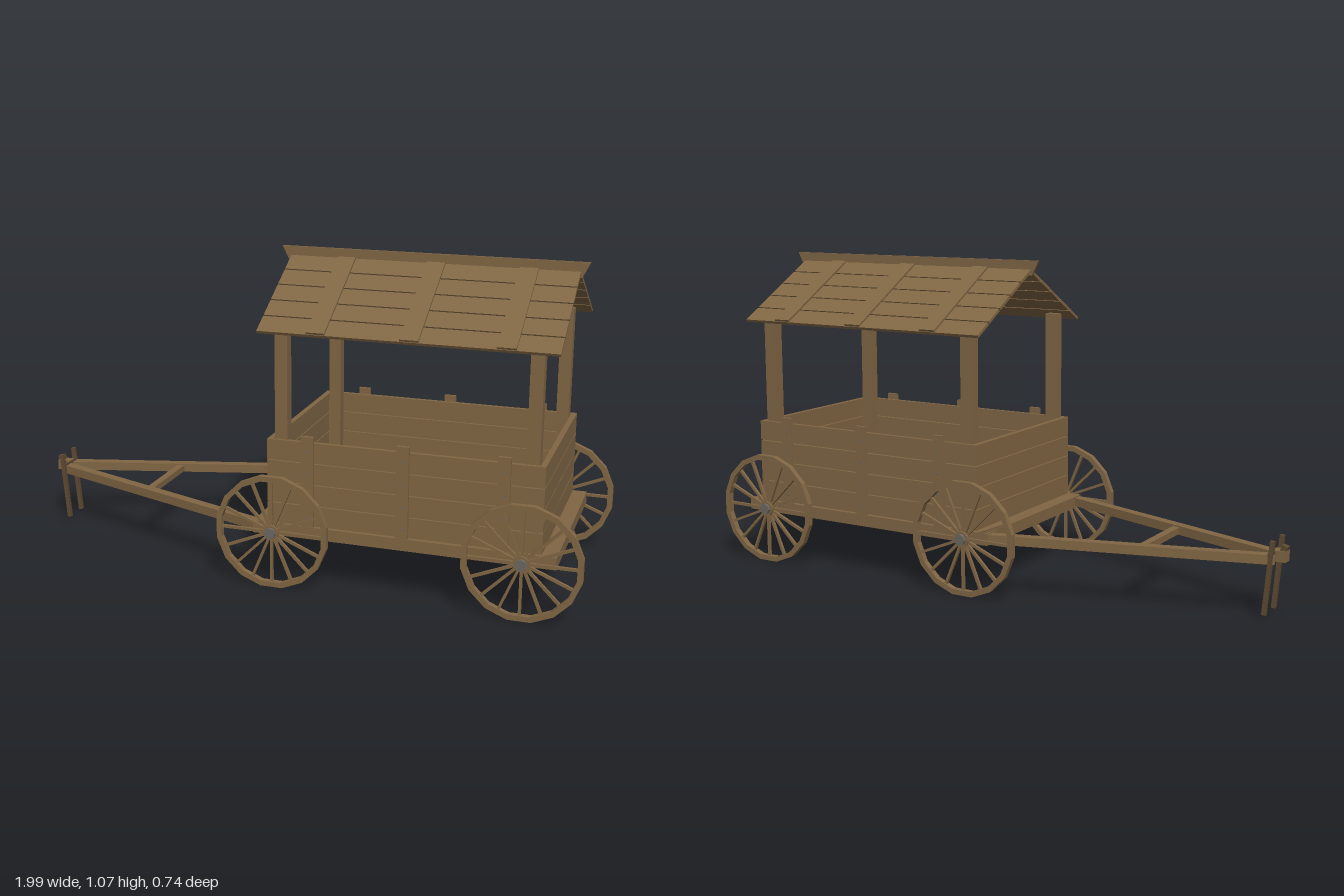
import * as THREE from 'three';

export function createModel() {
  const model = new THREE.Group();
  const wood = new THREE.MeshStandardMaterial({ name: 'wood', color: 0x806644, flatShading: true });
  const iron = new THREE.MeshStandardMaterial({ name: 'iron', color: 0x6b6762, flatShading: true });
  const darkWood = new THREE.MeshStandardMaterial({ name: 'darkWood', color: 0x5e4a32, flatShading: true });

  const add = (name, geometry, material, x, y, z, parent = model) => {
    const mesh = new THREE.Mesh(geometry, material);
    mesh.name = name;
    mesh.position.set(x, y, z);
    parent.add(mesh);
    return mesh;
  };
  const box = (name, w, h, d, x, y, z, parent = model, material = wood) =>
    add(name, new THREE.BoxGeometry(w, h, d), material, x, y, z, parent);
  // bar between two points, local z along its length
  const beam = (name, a, b, w, h, material = wood) => {
    const from = new THREE.Vector3(...a), to = new THREE.Vector3(...b);
    const mid = from.clone().add(to).multiplyScalar(0.5);
    const mesh = box(name, w, h, from.distanceTo(to), mid.x, mid.y, mid.z, model, material);
    mesh.lookAt(to);
    return mesh;
  };

  // wagon bed
  box('bed', 0.995, 0.04, 0.645, 0.41, 0.2, 0);

  // plank walls, four boards high with narrow gaps
  const edges = [0.22, 0.29, 0.362, 0.434, 0.505];
  for (let i = 0; i < 4; i++) {
    const h = edges[i + 1] - edges[i] - 0.003, y = (edges[i] + edges[i + 1]) / 2;
    for (const s of [-1, 1]) {
      box('sidePlank', 0.9, h, 0.015, 0.41, y, s * 0.304);
      box('endPlank', 0.018, h, 0.593, 0.41 + s * 0.441, y, 0);
    }
  }

  for (const s of [-1, 1]) {
    // stakes with nails on the outside of the walls
    for (const x of [0.1, 0.415, 0.735]) {
      box('wallStake', 0.04, 0.305, 0.012, x, 0.3725, s * 0.316);
      for (const y of [0.25, 0.325, 0.4, 0.475]) {
        const nail = add('nail', new THREE.CylinderGeometry(0.004, 0.004, 0.004, 6), iron, x, y, s * 0.323);
        nail.rotation.x = Math.PI / 2;
      }
    }
    // roof posts
    for (const x of [0.004, 0.818]) box('roofPost', 0.042, 0.657, 0.04, x, 0.5485, s * 0.279);
  }

  // gabled roof: each slope is built flat and then tilted from the ridge
  const slope = Math.atan2(0.19, 0.335), slopeLength = 0.385, board = slopeLength / 5;
  for (const s of [-1, 1]) {
    const side = new THREE.Group();
    side.name = 'roofSlope';
    side.position.set(0.413, 1.047, 0);
    side.rotation.x = s * slope;
    for (let i = 0; i < 5; i++) {
      box('roofPlank', 0.955, 0.01, board - 0.005, 0, 0, s * board * (i + 0.5), side);
    }
    for (const x of [-0.283, 0.017, 0.317]) {
      box('roofBatten', 0.06, 0.007, slopeLength - 0.01, x, 0.0085, s * slopeLength / 2, side);
    }
    model.add(side);
  }

  // ridge board with flared ends
  const ridge = new THREE.Shape([
    new THREE.Vector2(-0.07, 1.03), new THREE.Vector2(0.895, 1.03),
    new THREE.Vector2(0.92, 1.08), new THREE.Vector2(-0.095, 1.08),
  ]);
  add('ridgeBoard', new THREE.ExtrudeGeometry(ridge, { depth: 0.01, bevelEnabled: false }), wood, 0, 0, -0.005);

  // spoked wheels
  const R = 0.193, rimWidth = 0.018, spokes = 16;
  const ring = (r) => Array.from({ length: spokes }, (_, i) => {
    const a = (i + 0.5) / spokes * Math.PI * 2;
    return new THREE.Vector2(Math.cos(a) * r, Math.sin(a) * r);
  });
  const rimShape = new THREE.Shape(ring(R));
  rimShape.holes.push(new THREE.Path(ring(R - rimWidth)));
  const rimGeometry = new THREE.ExtrudeGeometry(rimShape, { depth: 0.02, bevelEnabled: false });
  rimGeometry.translate(0, 0, -0.01);
  for (const x of [-0.013, 0.805]) {
    for (const s of [-1, 1]) {
      const wheel = new THREE.Group();
      wheel.name = 'wheel';
      wheel.position.set(x, 0.2, s * 0.348);
      add('rim', rimGeometry, wood, 0, 0, 0, wheel);
      for (let i = 0; i < spokes; i++) {
        const a = i / spokes * Math.PI * 2, r = (R - 0.012) / 2;
        const spoke = box('spoke', R - 0.012, 0.009, 0.01, Math.cos(a) * r, Math.sin(a) * r, 0, wheel);
        spoke.rotation.z = a;
      }
      const hub = add('hub', new THREE.CylinderGeometry(0.026, 0.026, 0.03, 12), wood, 0, 0, -s * 0.003, wheel);
      const cap = add('hubCap', new THREE.CylinderGeometry(0.019, 0.019, 0.03, 8), iron, 0, 0, s * 0.008, wheel);
      hub.rotation.x = cap.rotation.x = Math.PI / 2;
      model.add(wheel);
    }
  }

  // drawbar: two shafts meeting at the hitch, with a cross brace
  beam('shaft', [-0.07, 0.201, 0.303], [-0.965, 0.2, -0.02], 0.034, 0.03);
  beam('shaft', [-0.07, 0.201, -0.305], [-0.965, 0.2, -0.06], 0.034, 0.03);
  beam('shaftBrace', [-0.56, 0.2, -0.165], [-0.56, 0.2, 0.12], 0.026, 0.022);

  // hitch block, crosspiece and hanging pegs
  box('hitchBlock', 0.045, 0.035, 0.035, -0.975, 0.208, -0.038);
  const tip = box('hitchTip', 0.02, 0.04, 0.022, -0.985, 0.222, -0.038, model, darkWood);
  tip.rotation.z = 0.3;
  beam('hitchCrosspiece', [-0.957, 0.215, -0.085], [-0.957, 0.215, 0.015], 0.014, 0.014, darkWood);
  for (const z of [0.01, -0.076]) {
    beam('hangingPeg', [-0.962, 0.26, z], [-0.941, 0.022, z], 0.014, 0.014, darkWood);
  }

  // rest the lowest wheel edge on the ground
  const floor = new THREE.Box3().setFromObject(model).min.y;
  model.children.forEach((part) => { part.position.y -= floor; });
  return model;
}
